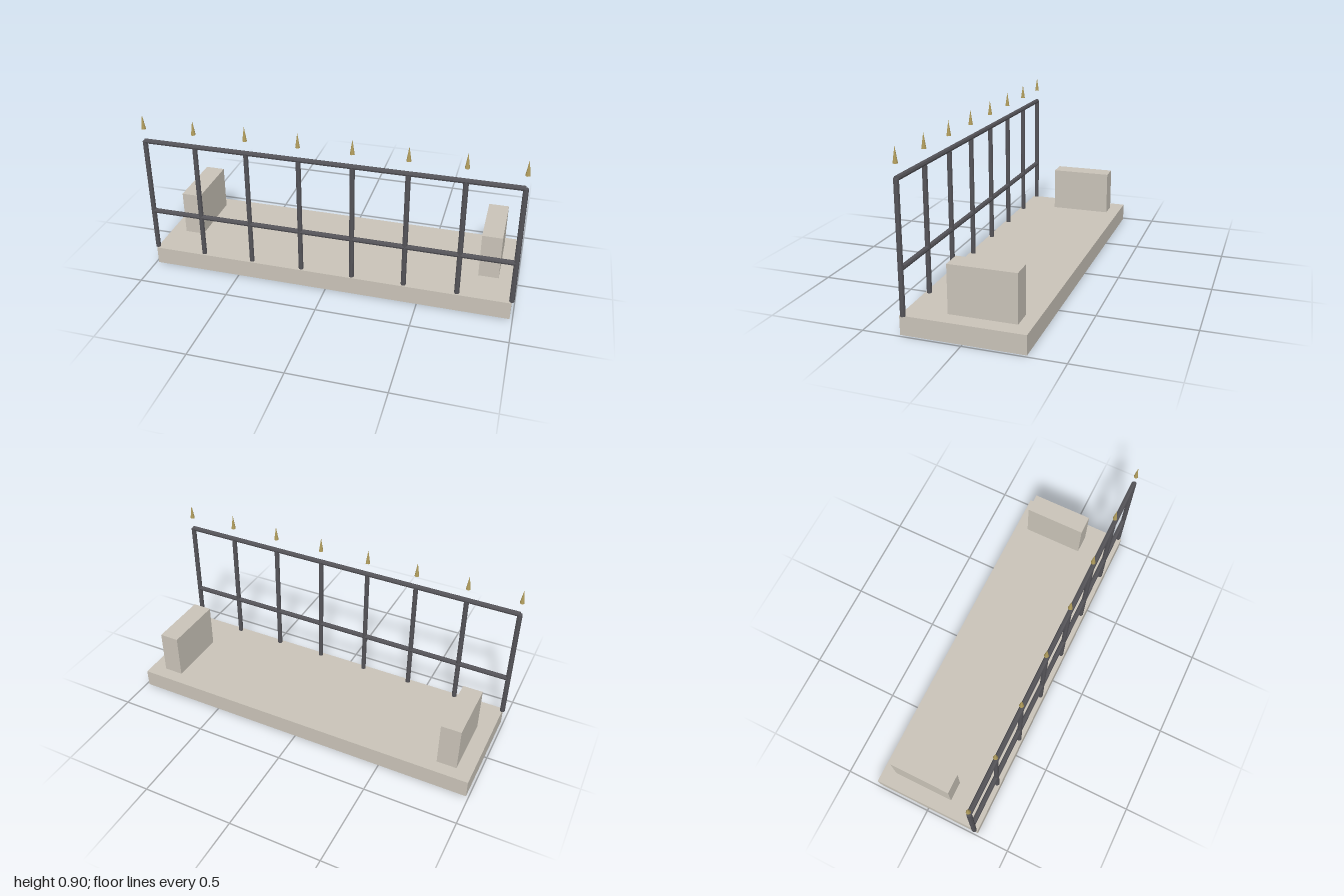
import * as THREE from 'three';

export function createModel() {
  const group = new THREE.Group();
  const material = (name, color) => {
    const m = new THREE.MeshStandardMaterial({ color, flatShading: true });
    m.name = name;
    return m;
  };
  const stone = material('stone', 0xc8c2b7);
  const iron = material('iron', 0x545358);
  const brass = material('brass', 0xb09c5c);

  const add = (name, geometry, mat, x, y, z) => {
    const mesh = new THREE.Mesh(geometry, mat);
    mesh.name = name;
    mesh.position.set(x, y, z);
    group.add(mesh);
    return mesh;
  };

  const halfLength = 0.986, floor = 0.0985, railY = 0.755;
  const fenceZ = 0.2915, radius = 0.0135;

  // Balcony slab and the two end blocks
  add('slab', new THREE.BoxGeometry(2 * halfLength, floor, 0.622), stone, 0, floor / 2, 0);
  for (const side of [-1, 1]) {
    add(side > 0 ? 'leftBlock' : 'rightBlock',
      new THREE.BoxGeometry(0.108, 0.249, 0.345), stone, side * 0.847, floor + 0.1245, -0.0675);
  }

  // Evenly spaced posts, each with a spike floating above the top rail
  const postHeight = railY - floor;
  const post = new THREE.CylinderGeometry(radius, radius, postHeight, 8);
  const spike = new THREE.ConeGeometry(0.0125, 0.079, 8);
  const count = 8;
  for (let i = 0; i < count; i++) {
    const x = halfLength * (2 * i / (count - 1) - 1);
    add('post', post, iron, x, floor + postHeight / 2, fenceZ);
    add('spike', spike, brass, x, 0.864, fenceZ);
  }

  // Horizontal rails
  const rail = new THREE.CylinderGeometry(radius, radius, 2 * halfLength, 8).rotateZ(Math.PI / 2);
  add('topRail', rail, iron, 0, railY, fenceZ);
  add('middleRail', rail, iron, 0, 0.332, fenceZ);

  return group;
}
